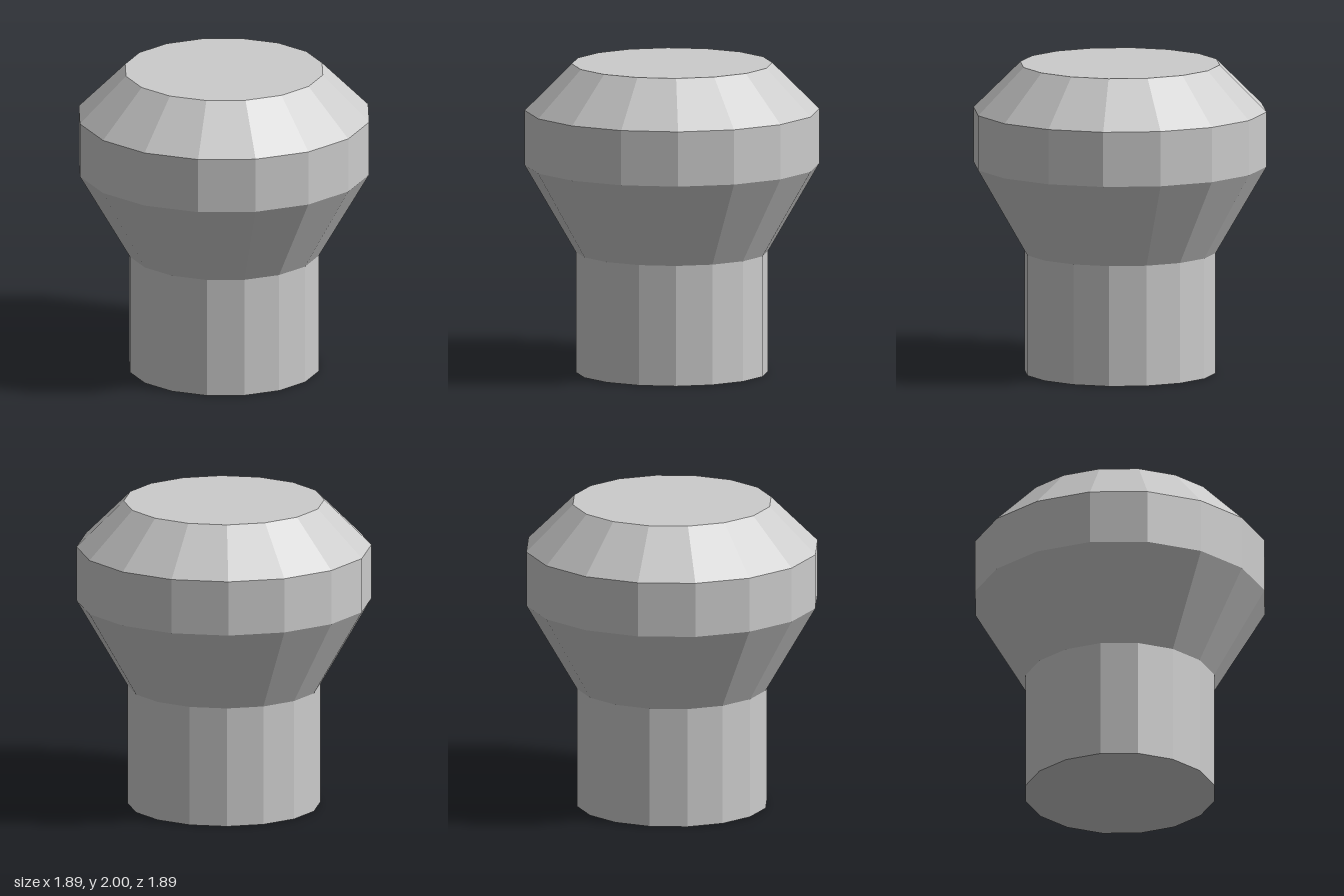
import * as THREE from 'three';

const SIDES = 16;

export function createModel() {
  const group = new THREE.Group();
  group.name = 'knob';
  const material = new THREE.MeshStandardMaterial({ color: 0xcccccc, flatShading: true });

  // Faceted turned part from [radius, height] pairs, bottom to top
  const turned = (name, profile) => {
    const points = profile.map(([r, y]) => new THREE.Vector2(r, y));
    const mesh = new THREE.Mesh(new THREE.LatheGeometry(points, SIDES), material);
    mesh.name = name;
    group.add(mesh);
  };

  // Straight stem with closed base
  turned('stem', [[0, 0], [0.617, 0], [0.617, 0.78]]);

  // Flared head with upright band, chamfer and flat top
  turned('head', [[0.617, 0.78], [0.945, 1.345], [0.945, 1.7], [0.643, 2], [0, 2]]);

  return group;
}
